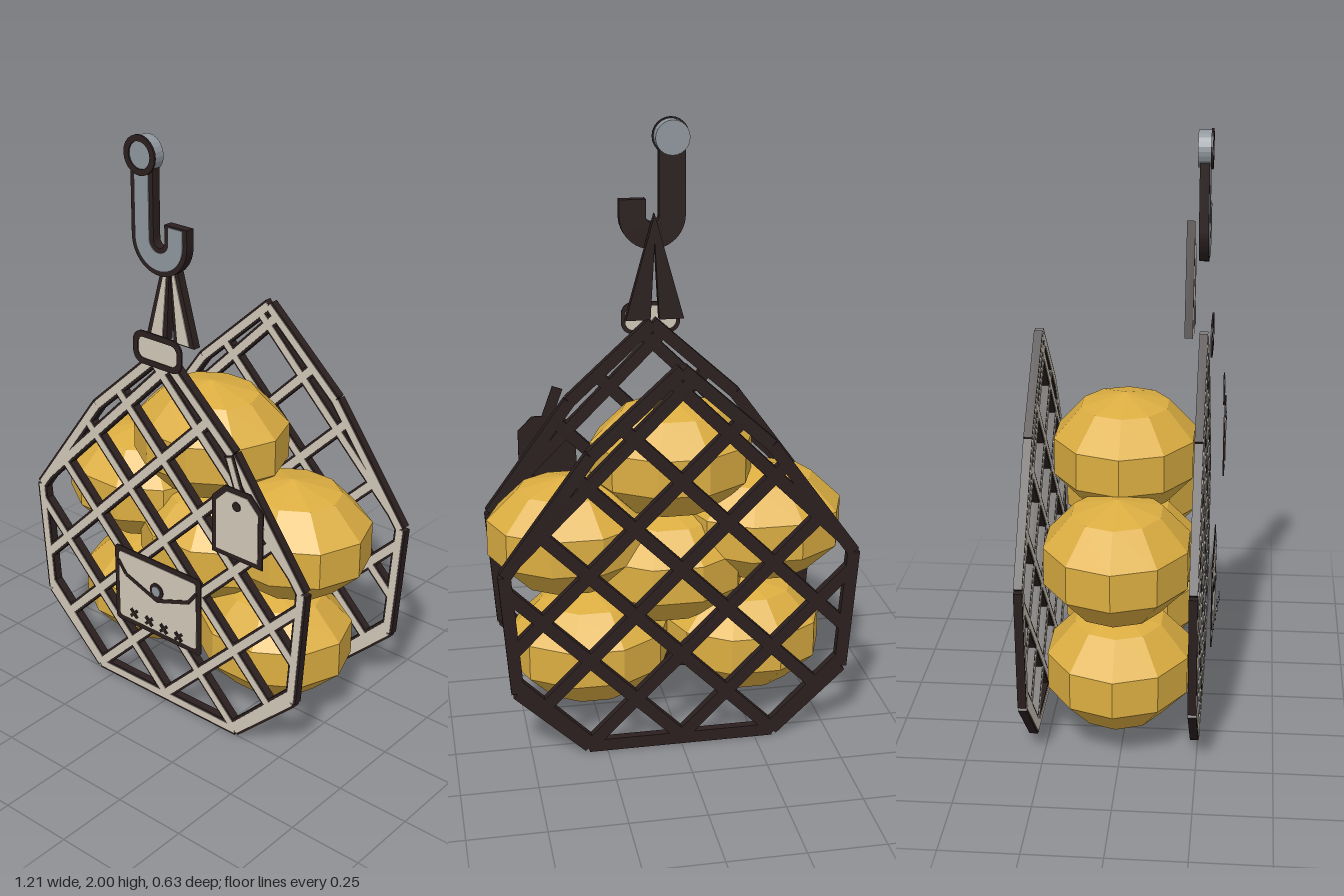
import * as THREE from 'three';

const mat = (name, color, extra = {}) => {
  const m = new THREE.MeshStandardMaterial({ color, ...extra });
  m.name = name;
  return m;
};

export function createModel() {
  const dark = mat('dark outline', 0x2b1f1f);
  const cream = mat('cream canvas', 0xd0c7b8);
  const steel = mat('grey steel', 0x8f979d);
  const gold = mat('golden fruit', 0xdcae42, { flatShading: true });

  const root = new THREE.Group();
  root.name = 'hangingFruitNet';
  const group = (name, parent = root) => {
    const g = new THREE.Group();
    g.name = name;
    parent.add(g);
    return g;
  };

  // Extruded flat piece running from z0 to z1
  const plate = (parent, name, shape, z0, z1, material) => {
    const geo = new THREE.ExtrudeGeometry(shape, { depth: z1 - z0, bevelEnabled: false, curveSegments: 12 });
    geo.translate(0, 0, z0);
    const mesh = new THREE.Mesh(geo, material);
    mesh.name = name;
    parent.add(mesh);
    return mesh;
  };
  const poly = (pts) => new THREE.Shape(pts.map(([x, y]) => new THREE.Vector2(x, y)));
  const circle = (x, y, r) => new THREE.Shape().absarc(x, y, r, 0, Math.PI * 2, false);
  const roundRect = (x, y, hw, hh, r) => {
    const s = new THREE.Shape();
    s.absarc(x + hw - r, y + hh - r, r, 0, Math.PI / 2, false);
    s.absarc(x - hw + r, y + hh - r, r, Math.PI / 2, Math.PI, false);
    s.absarc(x - hw + r, y - hh + r, r, Math.PI, Math.PI * 1.5, false);
    s.absarc(x + hw - r, y - hh + r, r, Math.PI * 1.5, Math.PI * 2, false);
    return s;
  };
  // Straight bar between two points
  const bar = (parent, name, a, b, width, z0, z1, material) => {
    const dx = b[0] - a[0], dy = b[1] - a[1];
    const mesh = new THREE.Mesh(new THREE.BoxGeometry(Math.hypot(dx, dy), width, z1 - z0), material);
    mesh.position.set((a[0] + b[0]) / 2, (a[1] + b[1]) / 2, (z0 + z1) / 2);
    mesh.rotation.z = Math.atan2(dy, dx);
    mesh.name = name;
    parent.add(mesh);
  };
  // Dark cord with a cream strip on its front face
  const cord = (parent, name, a, b, z) => {
    bar(parent, name, a, b, 0.042, z - 0.015, z + 0.013, dark);
    bar(parent, name + 'Face', a, b, 0.026, z + 0.012, z + 0.015, cream);
  };

  // Fruit pile
  const fruitGeo = new THREE.SphereGeometry(1, 10, 5);
  const fruits = group('fruitPile');
  for (const [x, y] of [[-0.27, 0.265], [0.265, 0.265], [0, 0.545], [-0.335, 0.67], [0.33, 0.67], [-0.02, 0.922]]) {
    const f = new THREE.Mesh(fruitGeo, gold);
    f.name = 'fruit';
    f.scale.set(0.288, 0.202, 0.253);
    f.position.set(x, y, -0.015);
    fruits.add(f);
  }

  // Front and back nets: a rim filled with crossing diagonal cords
  const half = [[0.31, 0.021], [0.542, 0.24], [0.573, 0.655], [0.29, 1.045]];
  const rim = [...half, [0, 1.31], ...half.map(([x, y]) => [-x, y]).reverse()];
  const clip = (slope, c) => {
    const hits = [];
    rim.forEach((p, i) => {
      const q = rim[(i + 1) % rim.length];
      const d0 = p[1] - slope * p[0] - c, d1 = q[1] - slope * q[0] - c;
      if (d0 * d1 < 0) {
        const t = d0 / (d0 - d1);
        hits.push([p[0] + t * (q[0] - p[0]), p[1] + t * (q[1] - p[1])]);
      }
    });
    return hits;
  };
  for (const [name, z] of [['frontNet', 0.24], ['backNet', -0.3]]) {
    const net = group(name);
    rim.forEach((p, i) => cord(net, 'rimCord', p, rim[(i + 1) % rim.length], z));
    for (const slope of [1, -1]) {
      for (let k = -2; k <= 4; k++) {
        const h = clip(slope, 0.03 + 0.303 * k);
        if (h.length === 2) cord(net, 'diagonalCord', h[0], h[1], z);
      }
    }
  }

  // Hook: J-shaped bar with a steel face and a round eye on top
  const hook = group('hook');
  const jShape = (h, top, tip) => {
    const R = 0.0675, cy = 1.68, s = new THREE.Shape();
    s.moveTo(-R - h, top);
    s.lineTo(-R - h, cy);
    s.absarc(0, cy, R + h, Math.PI, Math.PI * 2, false);
    s.lineTo(R + h, tip);
    s.lineTo(R - h, tip);
    s.lineTo(R - h, cy);
    s.absarc(0, cy, R - h, Math.PI * 2, Math.PI, true);
    s.lineTo(-R + h, top);
    return s;
  };
  plate(hook, 'hookBar', jShape(0.045, 1.9, 1.737), 0.222, 0.253, dark);
  plate(hook, 'hookFace', jShape(0.029, 1.9, 1.732), 0.252, 0.256, steel);
  plate(hook, 'hookEye', circle(-0.0675, 1.937, 0.058), 0.216, 0.258, steel);
  const eyeRing = circle(-0.0675, 1.937, 0.063);
  eyeRing.holes.push(circle(-0.0675, 1.937, 0.043));
  plate(hook, 'hookEyeRing', eyeRing, 0.256, 0.263, dark);

  // Two tapered straps spreading down from the hook
  const straps = group('straps');
  for (const s of [-1, 1]) {
    plate(straps, 'strap', poly([[0, 1.695], [s * 0.1, 1.335], [s * 0.015, 1.335], [0, 1.6]]), 0.18, 0.207, dark);
    plate(straps, 'strapFace', poly([[s * 0.006, 1.62], [s * 0.08, 1.34], [s * 0.032, 1.34]]), 0.206, 0.21, cream);
  }

  // Clasp that gathers the neck of the net
  const clasp = group('clasp');
  const claspRing = roundRect(0, 1.32, 0.102, 0.056, 0.04);
  claspRing.holes.push(roundRect(0, 1.32, 0.082, 0.036, 0.026));
  plate(clasp, 'claspRim', claspRing, 0.264, 0.27, dark);
  plate(clasp, 'claspPlate', roundRect(0, 1.32, 0.088, 0.042, 0.03), 0.263, 0.267, cream);

  // Pouch with flap, button and cross stitches
  const pouch = group('pouch');
  plate(pouch, 'pouchRim', roundRect(0, 0.425, 0.192, 0.146, 0.015), 0.283, 0.287, dark);
  plate(pouch, 'pouchFace', roundRect(0, 0.425, 0.172, 0.126, 0.012), 0.286, 0.289, cream);
  const flap = [[-0.175, 0.515], [-0.14, 0.47], [0, 0.42], [0.14, 0.47], [0.175, 0.515]];
  for (let i = 0; i < 4; i++) bar(pouch, 'flapEdge', flap[i], flap[i + 1], 0.014, 0.288, 0.291, dark);
  plate(pouch, 'buttonRim', circle(0, 0.458, 0.029), 0.289, 0.293, dark);
  plate(pouch, 'button', circle(0, 0.458, 0.018), 0.292, 0.295, steel);
  [-0.106, -0.034, 0.036, 0.106].forEach((x, i) => {
    const z = 0.288 + 0.004 * i, d = 0.014;
    for (const s of [-1, 1]) bar(pouch, 'stitch', [x - d, 0.328 - s * d], [x + d, 0.328 + s * d], 0.011, z, z + 0.005, dark);
  });

  // Hanging tag with its string
  const tag = group('tag');
  const tagShape = (m) => {
    const k = 0.05 - m * 0.4;
    const l = 0.26 + m, r = 0.463 - m, b = 0.723 + m, t = 0.973 - m;
    return poly([[l, b], [r, b], [r, t - k], [r - k, t], [l + k, t], [l, t - k]]);
  };
  plate(tag, 'tagRim', tagShape(0), 0.304, 0.309, dark);
  plate(tag, 'tagFace', tagShape(0.018), 0.308, 0.311, cream);
  plate(tag, 'tagHole', circle(0.361, 0.915, 0.016), 0.31, 0.314, dark);
  bar(tag, 'tagString', [0.322, 1.075], [0.362, 0.965], 0.038, 0.3, 0.304, dark);
  bar(tag, 'tagStringFace', [0.324, 1.07], [0.362, 0.965], 0.02, 0.303, 0.306, cream);

  return root;
}
